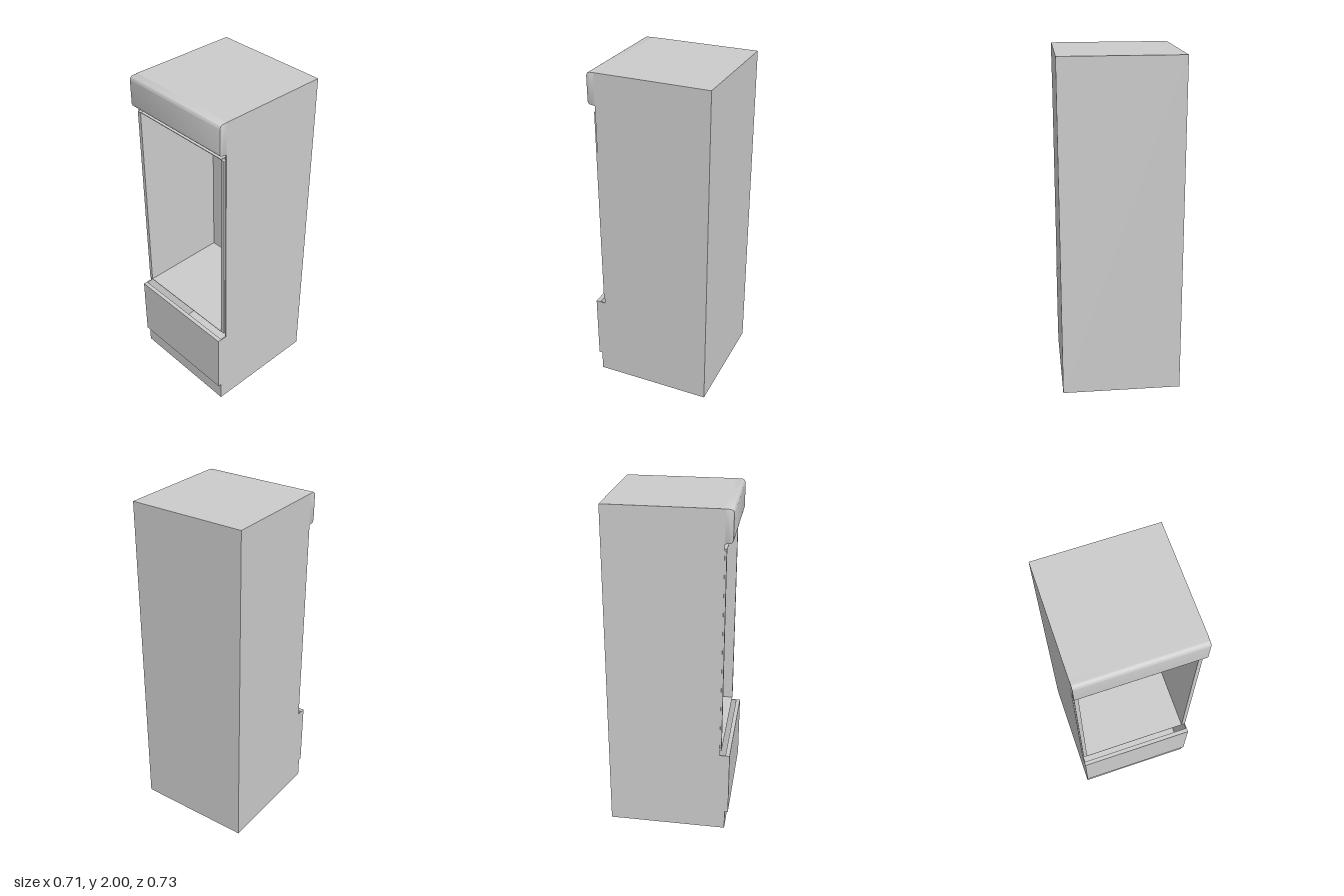
import * as THREE from 'three';
import { toCreasedNormals } from 'three/addons/utils/BufferGeometryUtils.js';

const W = 0.354, BACK = -0.364, FRONT = 0.305, T = 0.006;

export function createModel() {
  const cabinet = new THREE.Group();
  cabinet.name = 'openCabinet';
  const material = new THREE.MeshStandardMaterial({ color: 0xcccccc });

  const add = (name, geometry) => {
    const mesh = new THREE.Mesh(geometry, material);
    mesh.name = name;
    cabinet.add(mesh);
    return mesh;
  };
  // Box given by its limits on each axis
  const slab = (name, x0, x1, y0, y1, z0, z1) => {
    const mesh = add(name, new THREE.BoxGeometry(x1 - x0, y1 - y0, z1 - z0));
    mesh.position.set((x0 + x1) / 2, (y0 + y1) / 2, (z0 + z1) / 2);
    return mesh;
  };
  // Extrudes a (z, y) profile along x, starting at x0
  const alongX = (shape, x0, depth, options = {}) =>
    new THREE.ExtrudeGeometry(shape, { depth, bevelEnabled: false, ...options })
      .rotateY(-Math.PI / 2).translate(x0 + depth, 0, 0);

  // Outer side walls, stepped forward beside the lower panel
  const side = new THREE.Shape([
    [BACK, 0], [0.345, 0], [0.345, 0.52], [FRONT, 0.52], [FRONT, 2], [BACK, 2],
  ].map(([z, y]) => new THREE.Vector2(z, y)));
  add('leftSide', alongX(side, W - T, T));
  add('rightSide', alongX(side, -W, T));

  // Rest of the hollow outer shell
  const inner = W - T;
  slab('backPanel', -inner, inner, 0, 2, BACK, BACK + T);
  slab('topPanel', -inner, inner, 2 - T, 2, BACK + T, 0.3);
  slab('bottomPanel', -inner, inner, 0, T, BACK + T, 0.335);
  slab('plinth', -inner, inner, 0, 0.12, 0.335, 0.345);
  slab('lowerPanel', -W, W, 0.12, 0.52, 0.34, 0.365);

  // Rounded header above the opening
  const head = new THREE.Shape();
  head.moveTo(0.295, 2);
  head.lineTo(0.295, 1.81);
  head.lineTo(0.33, 1.815);
  head.quadraticCurveTo(0.35, 1.817, 0.35, 1.84);
  head.lineTo(0.35, 1.972);
  head.quadraticCurveTo(0.35, 2, 0.322, 2);
  const b = 0.004;
  const headGeometry = alongX(head, -W + b, 2 * (W - b), {
    bevelEnabled: true, bevelSize: b, bevelThickness: b, bevelOffset: -b,
    bevelSegments: 2, curveSegments: 10,
  });
  add('header', toCreasedNormals(headGeometry, 0.7));

  // Inner compartment, open at the front, with slots above and below
  const Y0 = 0.55, Y1 = 1.775, X = 0.325, Z0 = -0.225, Z1 = 0.315, t = 0.004;
  slab('compartmentFloor', -X, X, Y0 - t, Y0, Z0, Z1);
  slab('compartmentCeiling', -X, X, Y1, Y1 + t, Z0, Z1);
  slab('compartmentBack', -X, X, Y0, Y1, Z0 - t, Z0);
  for (const [name, s] of [['left', 1], ['right', -1]]) {
    const wall = slab(name + 'CompartmentWall', X, X + t, Y0, Y1, Z0, Z1 - t);
    const strip = slab(name + 'FrontStrip', X, 0.348, Y0, Y1, 0.295, Z1);
    wall.position.x *= s;
    strip.position.x *= s;
  }
  return cabinet;
}
